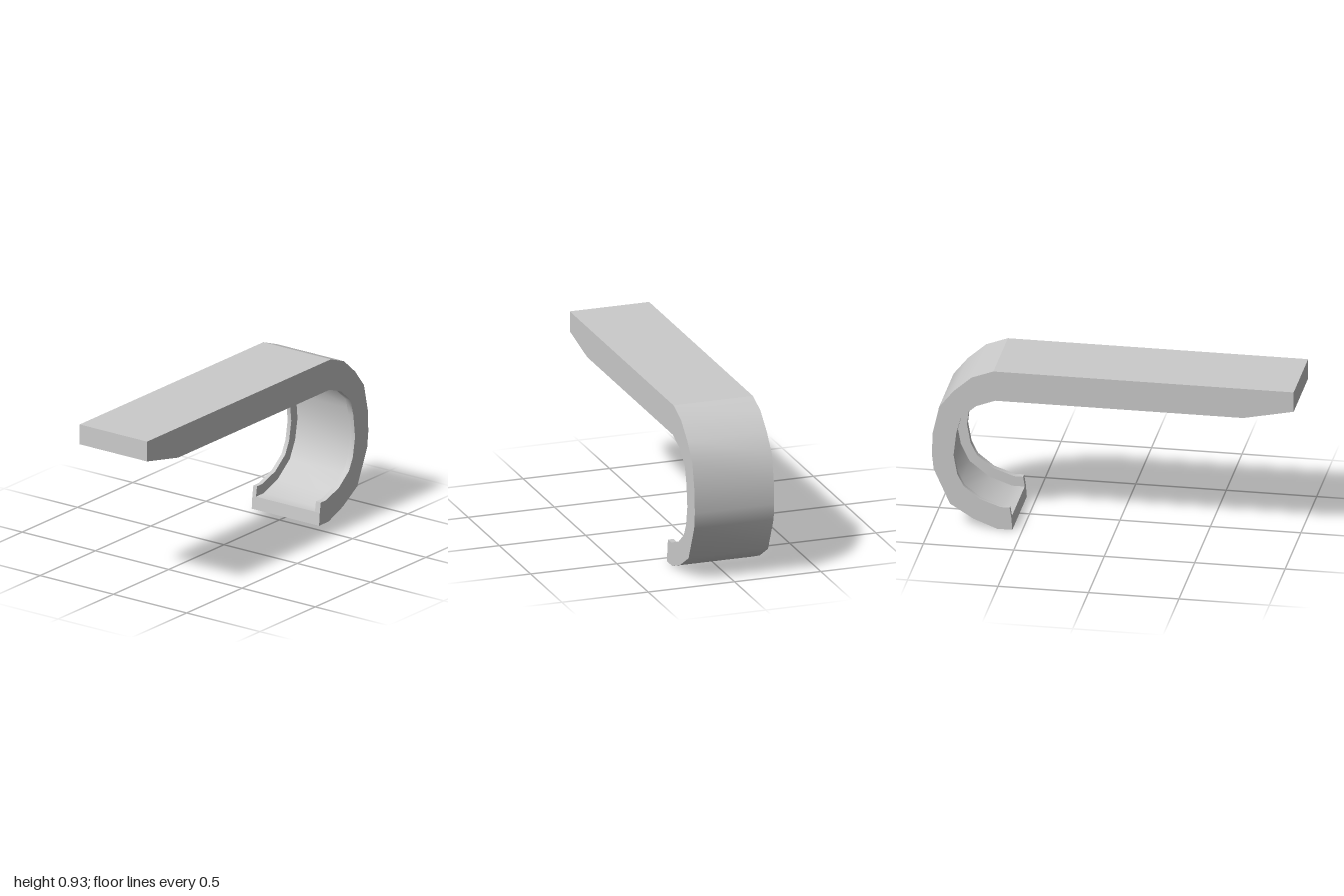
import * as THREE from 'three';

const W = 0.23, RIM_R = -0.205, RIM_L = 0.197; // outer half width, inner rim edges

// Side profile as [z, y], walked from the front over the top, round the hook and back
const topFlat = [[1, 0.933], [-0.66, 0.933]];
const outerCurve = [[-0.66, 0.933], [-0.78, 0.888], [-0.88, 0.8], [-0.96, 0.7], [-0.995, 0.545],
  [-1, 0.42], [-0.99, 0.33], [-0.9, 0.13], [-0.77, 0.05], [-0.64, 0], [-0.555, 0]];
const tip = [[-0.555, 0], [-0.561, 0.073]];
const rimTip = [[-0.561, 0.073], [-0.57, 0.13]];
const rimCurve = [[-0.57, 0.13], [-0.62, 0.13], [-0.735, 0.17], [-0.825, 0.24], [-0.86, 0.31],
  [-0.88, 0.42], [-0.865, 0.55], [-0.84, 0.645], [-0.755, 0.72], [-0.65, 0.76]];
const rimFlat = [[-0.65, 0.76], [0.72, 0.76]];
const rimChamfer = [[0.72, 0.76], [1, 0.818]];
const floorCurve = [[-0.561, 0.073], [-0.63, 0.073], [-0.757, 0.118], [-0.866, 0.203], [-0.914, 0.3],
  [-0.936, 0.42], [-0.922, 0.56], [-0.89, 0.675], [-0.784, 0.77], [-0.655, 0.818]];
const floorFlat = [[-0.655, 0.818], [1, 0.818]];
const front = [[1, 0.818], [1, 0.933]];

const material = new THREE.MeshStandardMaterial({ color: 0xcccccc, side: THREE.DoubleSide });

function add(group, name, geometry) {
  const mesh = new THREE.Mesh(geometry, material);
  mesh.name = name;
  group.add(mesh);
}

// Smooth strip that follows a profile between two x positions
function ribbon(points, x0, x1) {
  const position = [], index = [];
  points.forEach(([z, y], i) => {
    position.push(x0, y, z, x1, y, z);
    if (i) {
      const a = 2 * i - 2;
      index.push(a, a + 1, a + 2, a + 1, a + 3, a + 2);
    }
  });
  const g = new THREE.BufferGeometry();
  g.setAttribute('position', new THREE.Float32BufferAttribute(position, 3));
  g.setIndex(index);
  g.computeVertexNormals();
  return g;
}

// Flat face of a closed profile at x, facing +x (dir 1) or -x (dir -1)
function sideFace(points, x, dir) {
  const shape = new THREE.Shape(points.map(([z, y]) => new THREE.Vector2(-dir * z, y)));
  return new THREE.ShapeGeometry(shape).rotateY(dir * Math.PI / 2).translate(x, 0, 0);
}

export function createModel() {
  const model = new THREE.Group();
  model.name = 'hook';

  // Outer skin and end faces
  add(model, 'topPlate', ribbon(topFlat, -W, W));
  add(model, 'outerCurve', ribbon(outerCurve, -W, W));
  add(model, 'tipFace', ribbon(tip, -W, W));
  add(model, 'frontFace', ribbon(front, -W, W));

  // Recessed channel on the inside
  add(model, 'channelCurve', ribbon(floorCurve, RIM_R, RIM_L));
  add(model, 'channelFlat', ribbon(floorFlat, RIM_R, RIM_L));

  // Side rims: outer cheek, inner wall and the narrow edge between them
  const edge = [...rimTip, ...rimCurve.slice(1), rimFlat[1], rimChamfer[1]];
  const cheek = [topFlat[0], ...outerCurve, ...edge];
  const wall = [...edge, ...floorCurve.slice(1).reverse()];
  for (const [name, outer, inner, dir] of [['left', W, RIM_L, 1], ['right', -W, RIM_R, -1]]) {
    const rim = new THREE.Group();
    rim.name = name + 'Rim';
    add(rim, name + 'Cheek', sideFace(cheek, outer, dir));
    add(rim, name + 'InnerWall', sideFace(wall, inner, -dir));
    for (const part of [rimTip, rimCurve, rimFlat, rimChamfer]) {
      add(rim, name + 'RimEdge', ribbon(part, Math.min(outer, inner), Math.max(outer, inner)));
    }
    model.add(rim);
  }
  return model;
}
